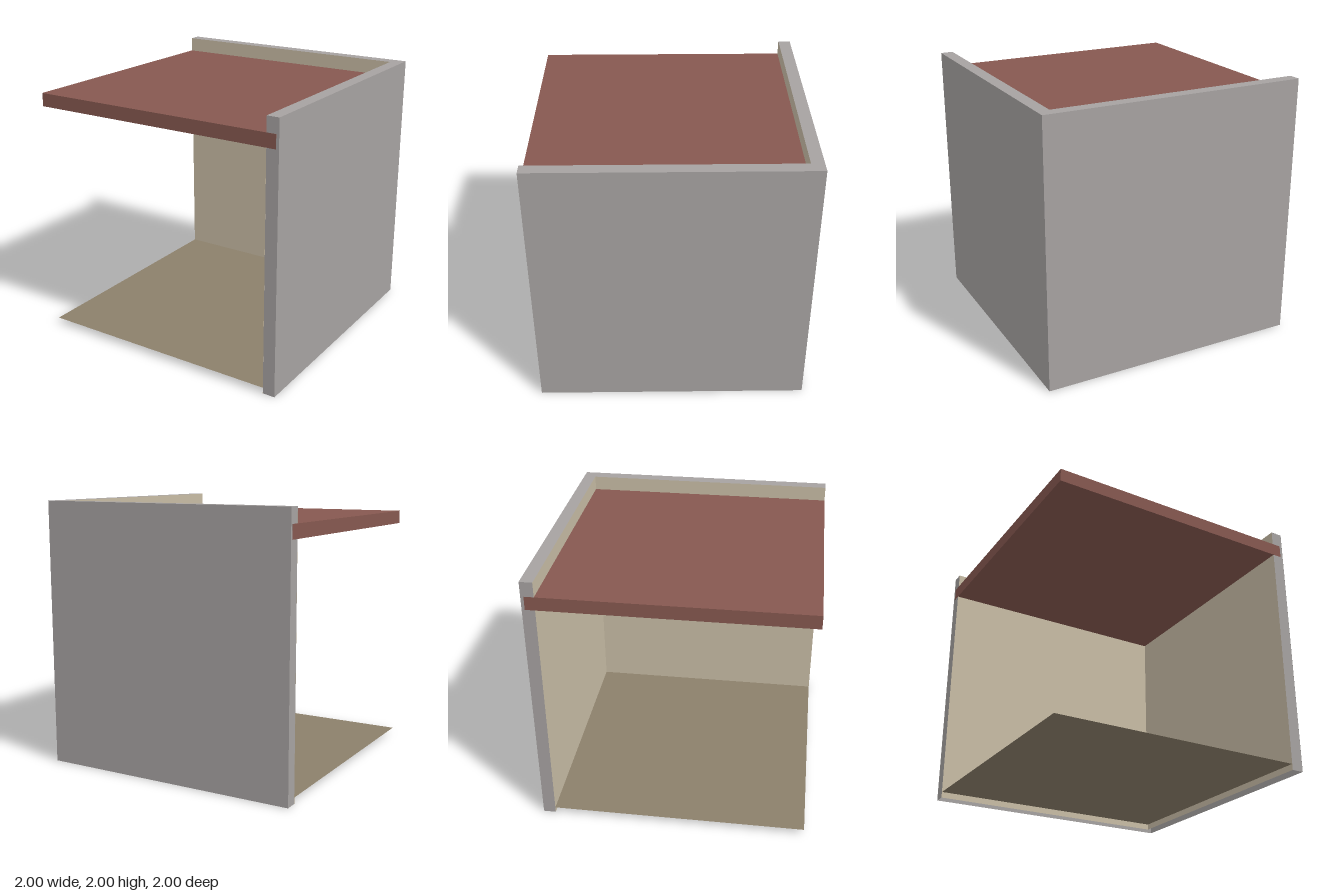
import * as THREE from 'three';

const T = 0.093;        // wall thickness
const IN = 1 - T;       // inner wall plane
const FLOOR_Y = 0.045;
const END = 0.999;      // exposed wall ends sit just behind the roof edge

const paint = (name, color) => {
  const m = new THREE.MeshStandardMaterial({ color, side: THREE.DoubleSide });
  m.name = name;
  return m;
};

export function createModel() {
  const grey = paint('outer wall grey', 0xa6a2a1);
  const tan = paint('inner wall tan', 0xc8bca5);
  const brown = paint('floor brown', 0x8c806b);
  const red = paint('roof red', 0x865850);

  const model = new THREE.Group();
  model.name = 'roomCorner';

  // Flat panel facing +z before being turned
  const panel = (parent, name, mat, w, h, [x, y, z], rx = 0, ry = 0) => {
    const mesh = new THREE.Mesh(new THREE.PlaneGeometry(w, h), mat);
    mesh.name = name;
    mesh.position.set(x, y, z);
    mesh.rotation.set(rx, ry, 0);
    parent.add(mesh);
  };
  const up = -Math.PI / 2, side = Math.PI / 2;
  const innerLength = 1 + IN;
  const midOffset = T / 2;

  // Back wall: hollow shell, open underneath
  const backWall = new THREE.Group();
  backWall.name = 'backWall';
  panel(backWall, 'backWallOuter', grey, 2, 2, [0, 1, -1], 0, Math.PI);
  panel(backWall, 'backWallInner', tan, innerLength, 2, [-midOffset, 1, -IN]);
  panel(backWall, 'backWallTop', grey, 2, T, [0, 2, -1 + T / 2], up);
  panel(backWall, 'backWallEnd', grey, T, 2, [-END, 1, -1 + T / 2], 0, -side);

  // Side wall: hollow shell, open underneath
  const sideWall = new THREE.Group();
  sideWall.name = 'sideWall';
  panel(sideWall, 'sideWallOuter', grey, 2, 2, [1, 1, 0], 0, side);
  panel(sideWall, 'sideWallInner', tan, innerLength, 2, [IN, 1, midOffset], 0, -side);
  panel(sideWall, 'sideWallTop', grey, T, innerLength, [1 - T / 2, 2, midOffset], up);
  panel(sideWall, 'sideWallEnd', grey, T, 2, [1 - T / 2, 1, END]);

  model.add(backWall, sideWall);

  // Floor sheet running under both walls
  panel(model, 'floor', brown, 1.998, 1.998, [0, FLOOR_Y, 0], up);

  // Roof slab set into both walls
  const roof = new THREE.Mesh(new THREE.BoxGeometry(1.978, 0.1, 1.978), red);
  roof.name = 'roof';
  roof.position.set(-0.011, 1.84, 0.011);
  model.add(roof);

  return model;
}
